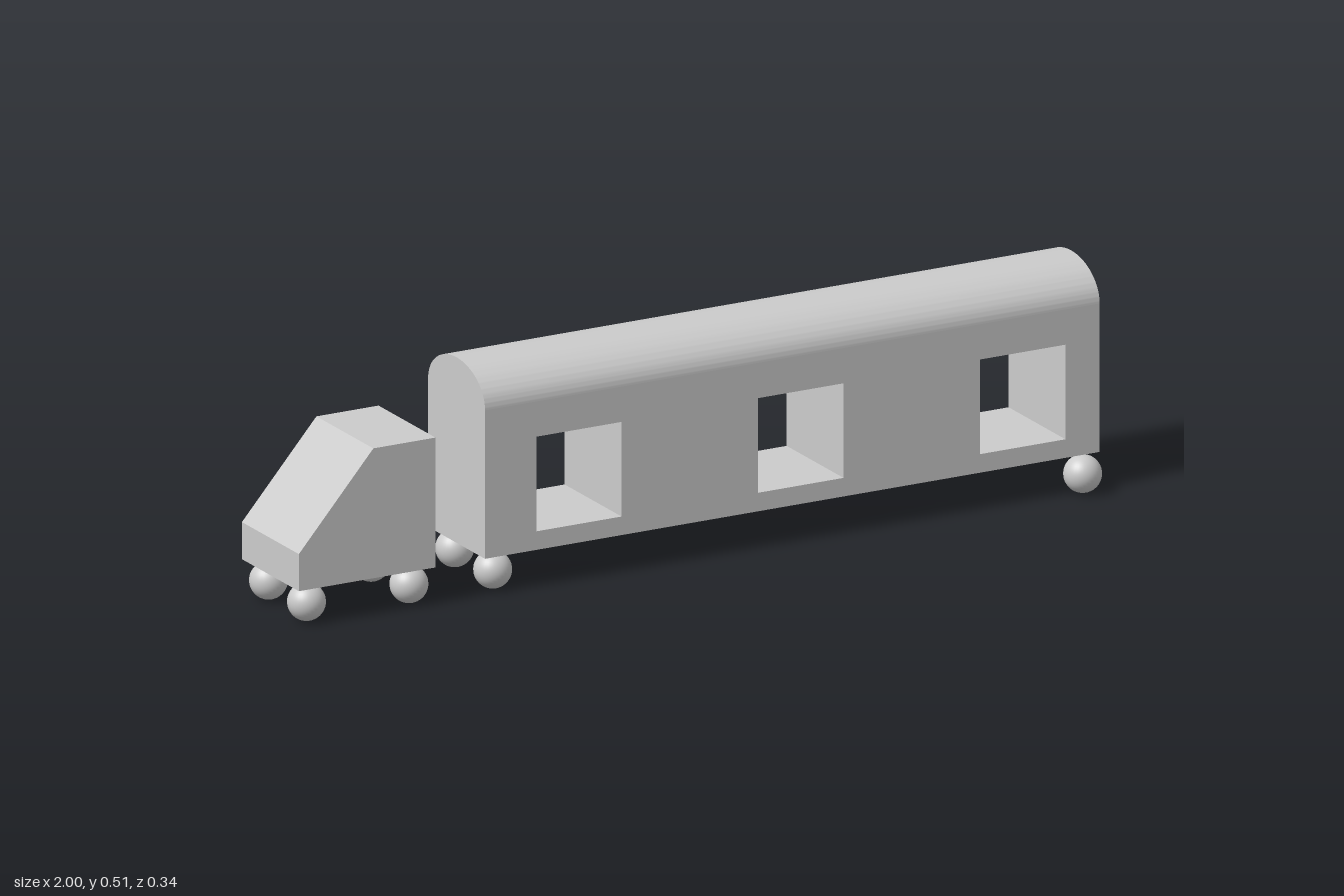
import * as THREE from 'three';
import { toCreasedNormals } from 'three/addons/utils/BufferGeometryUtils.js';

const U = 0.04264; // module all the proportions share
const HALF = 3 * U; // half width of the bodies
const BASE = 2 * U; // underside of the bodies
const CAR_X = -0.535, CAR_LEN = 36 * U, EAVES = 10 * U;

const material = new THREE.MeshStandardMaterial({ color: 0xcccccc });

function part(name, geometry, parent) {
  const mesh = new THREE.Mesh(geometry, material);
  mesh.name = name;
  parent.add(mesh);
  return mesh;
}

function rectangle(PathType, x0, y0, x1, y1) {
  return new PathType([[x0, y0], [x1, y0], [x1, y1], [x0, y1]].map(p => new THREE.Vector2(...p)));
}

// Side profile extruded across the full width
function acrossWidth(shape) {
  return new THREE.ExtrudeGeometry(shape, { depth: 2 * HALF, bevelEnabled: false }).translate(0, 0, -HALF);
}

export function createModel() {
  const model = new THREE.Group();
  model.name = 'truckAndCarriage';

  // Cab with sloping windscreen
  const cab = new THREE.Group();
  cab.name = 'cab';
  const cabShape = new THREE.Shape([
    [-1, BASE], [-1 + 8 * U, BASE], [-1 + 8 * U, 9 * U], [-0.814, 9 * U], [-1, 4 * U],
  ].map(p => new THREE.Vector2(...p)));
  part('cabBody', acrossWidth(cabShape), cab);

  // Carriage walls with three windows cut right through
  const carriage = new THREE.Group();
  carriage.name = 'carriage';
  const wall = rectangle(THREE.Shape, CAR_X, BASE, CAR_X + CAR_LEN, EAVES);
  for (const offset of [3, 16, 29]) {
    const x = CAR_X + offset * U;
    wall.holes.push(rectangle(THREE.Path, x, 3 * U, x + 5 * U, 8.1 * U));
  }
  part('carriageBody', acrossWidth(wall), carriage);

  // Half-elliptical roof running the length of the carriage
  const arch = new THREE.Shape();
  arch.absellipse(0, EAVES, HALF, 2 * U, 0, Math.PI, false);
  const roof = new THREE.ExtrudeGeometry(arch, { depth: CAR_LEN, bevelEnabled: false, curveSegments: 40 });
  roof.rotateY(Math.PI / 2).translate(CAR_X, 0, 0);
  part('roof', toCreasedNormals(roof, 0.6), carriage);

  // Ball wheels in mirrored pairs: [x, z offset, parent]
  const ball = new THREE.SphereGeometry(U, 32, 24);
  const axles = [
    [-1 + U, 2 * U, cab], [-1 + 7 * U, 2 * U, cab],
    [CAR_X + U, 2 * U, carriage], [CAR_X + CAR_LEN - U, 3 * U, carriage],
  ];
  for (const [x, z, parent] of axles) {
    for (const side of [-1, 1]) part('wheel', ball, parent).position.set(x, U, side * z);
  }

  model.add(cab, carriage);
  return model;
}
